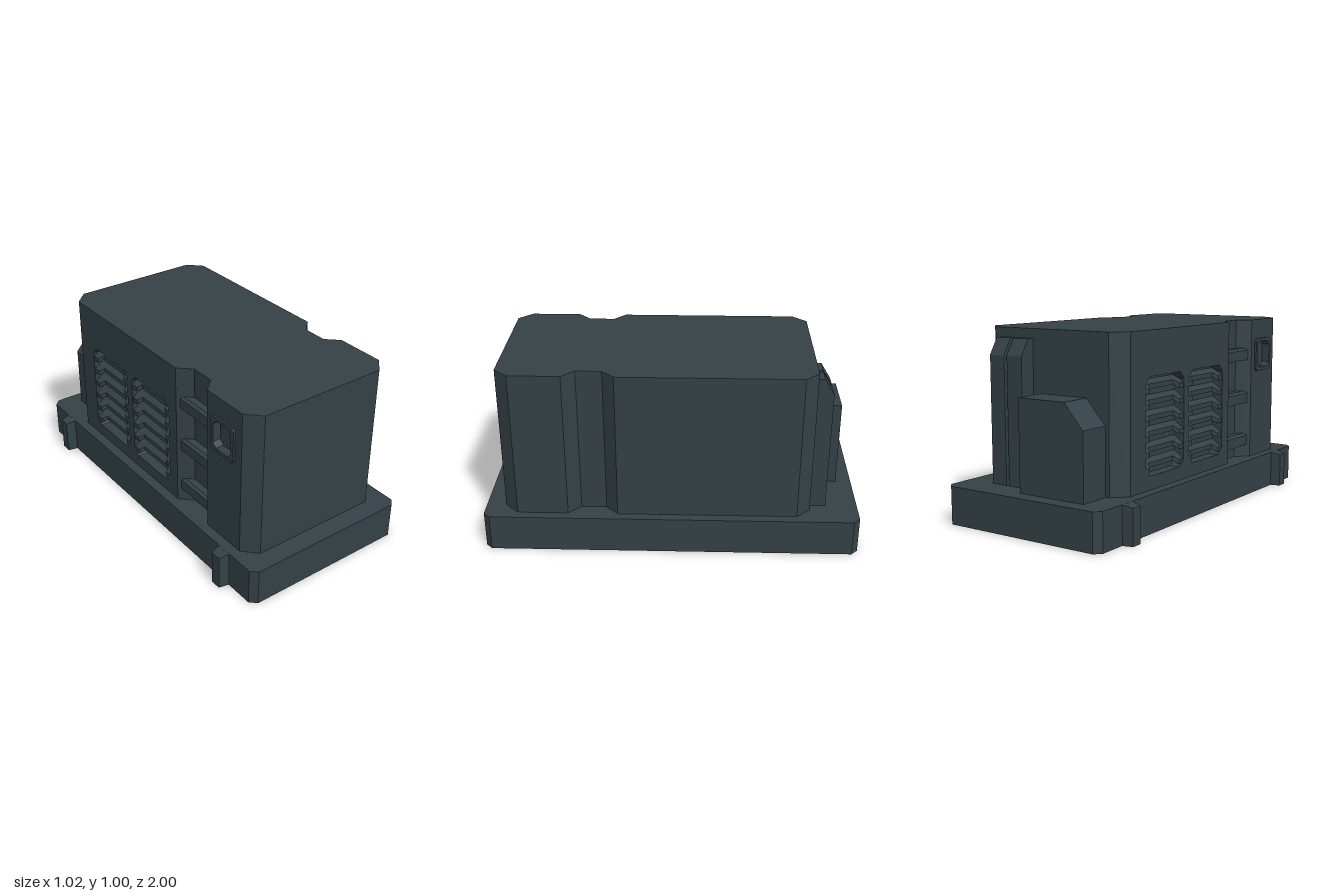
import * as THREE from 'three';

export function createModel() {
  const model = new THREE.Group();
  const slate = new THREE.MeshStandardMaterial({ color: 0x344146 });
  slate.name = 'slate';

  const add = (name, geometry, x = 0, y = 0, z = 0) => {
    const mesh = new THREE.Mesh(geometry, slate);
    mesh.name = name;
    mesh.position.set(x, y, z);
    model.add(mesh);
    return mesh;
  };
  const vectors = (points) => points.map(([a, b]) => new THREE.Vector2(a, b));
  const extrude = (points, depth, holes = []) => {
    const shape = new THREE.Shape(vectors(points));
    holes.forEach((hole) => shape.holes.push(new THREE.Path(vectors(hole))));
    return new THREE.ExtrudeGeometry(shape, { depth, bevelEnabled: false });
  };
  // mirrored outline, reversed to keep its winding
  const flip = (points) => points.map(([x, z]) => [x, -z]).reverse();
  // plan outline (x, z) raised along +y
  const raise = (points, depth, holes = []) =>
    extrude(flip(points), depth, holes.map(flip)).rotateX(-Math.PI / 2);
  // side profile (z, y) pushed along -x
  const push = (points, depth, holes = []) =>
    extrude(points, depth, holes).rotateY(-Math.PI / 2);
  // rectangle with cut corners
  const cutRect = (a0, a1, b0, b1, c) => [
    [a0 + c, b0], [a1 - c, b0], [a1, b0 + c], [a1, b1 - c],
    [a1 - c, b1], [a0 + c, b1], [a0, b1 - c], [a0, b0 + c],
  ];
  // move the height of each vertex by a rule
  const lift = (geometry, rule) => {
    const p = geometry.attributes.position;
    for (let i = 0; i < p.count; i++) p.setY(i, rule(p.getX(i), p.getY(i)));
    geometry.computeVertexNormals();
    return geometry;
  };

  // hollow base, open underneath
  const rim = cutRect(-0.459, 0.511, -1, 1, 0.034);
  const inner = cutRect(-0.456, 0.508, -0.997, 0.997, 0.033);
  add('baseWall', raise(rim, 0.197, [inner]));
  add('baseTop', raise(rim, 0.003), 0, 0.197);

  // side tabs, tops sloping slightly outwards
  for (const z of [-0.772, 0.766]) {
    const tab = raise([[-0.457, -0.042], [-0.457, 0.042], [-0.513, 0.03], [-0.513, -0.03]], 0.2);
    add('sideTab', lift(tab, (x, y) => (y > 0.1 && x < -0.5 ? 0.188 : y)), 0, 0, z);
  }

  // main housing, waisted on both sides and cut back behind the side panels
  const wall = -0.405, recess = -0.345, ventStart = -0.57, ventEnd = 0.25;
  const latchBack = -0.37, latchStart = 0.595, latchEnd = 0.765;
  add('housing', raise([
    [-0.332, 0.895], [0.387, 0.895], [0.46, 0.82],
    [0.46, 0.55], [0.392, 0.485], [0.392, 0.35], [0.46, 0.285],
    [0.46, -0.668], [0.387, -0.742], [-0.332, -0.742], [wall, -0.668],
    [wall, ventStart], [recess, ventStart], [recess, ventEnd], [wall, ventEnd],
    [wall, 0.285], [-0.337, 0.35], [-0.337, 0.485], [wall, 0.55],
    [wall, latchStart], [latchBack, latchStart], [latchBack, latchEnd], [wall, latchEnd],
    [wall, 0.82],
  ], 0.8), 0, 0.2);

  // wall panel with openings, standing in front of a recess
  const wallPanel = (name, back, a, b, holes) => add(name, push(
    [[a, 0.2], [b, 0.2], [b, 1], [a, 1]], back - wall, holes), back);

  // vent panel with two cut-corner openings
  const openings = [[-0.535, -0.185], [-0.135, 0.215]];
  wallPanel('ventPanel', recess, ventStart, ventEnd,
    openings.map(([a, b]) => cutRect(a, b, 0.27, 0.77, 0.038)));

  // sloping louvres, set back between their ends
  for (const [a, b] of openings) {
    for (let i = 0; i < 6; i++) {
      const slat = raise([
        [recess, a], [-0.402, a], [-0.402, a + 0.04], [-0.375, a + 0.06],
        [-0.375, b - 0.06], [-0.402, b - 0.04], [-0.402, b], [recess, b],
      ], 0.025);
      add('louvre', lift(slat, (x, y) => y + (x + 0.402) * 0.7), 0, 0.285 + i * 0.08, 0);
    }
  }

  // rungs across the waist
  for (const y of [0.27, 0.52, 0.77]) {
    const rung = extrude(
      [[-0.39, 0], [-0.33, 0], [-0.33, 0.068], [-0.375, 0.068], [-0.39, 0.056]], 0.236);
    add('rung', rung, 0, y, 0.299);
  }

  // recessed latch with a raised frame
  const latchHole = cutRect(0.61, 0.75, 0.718, 0.872, 0.025);
  wallPanel('latchPanel', latchBack, latchStart, latchEnd, [latchHole]);
  add('latchFrame', push(cutRect(0.59, 0.77, 0.7, 0.89, 0.015), 0.012, [latchHole]), -0.404);

  // twin rear ducts with slanted tops
  for (const [a, b] of [[0.138, 0.235], [0.253, 0.347]]) {
    const duct = push(
      [[-0.83, 0.2], [-0.735, 0.2], [-0.735, 0.95], [-0.778, 0.95], [-0.83, 0.865]], b - a);
    add('rearDuct', duct, b);
  }

  // rear box with one cut shoulder
  add('rearBox', extrude(
    [[-0.31, 0.2], [0.087, 0.2], [0.087, 0.676], [-0.197, 0.676], [-0.31, 0.55]], 0.18,
  ), 0, 0, -0.916);

  return model;
}
